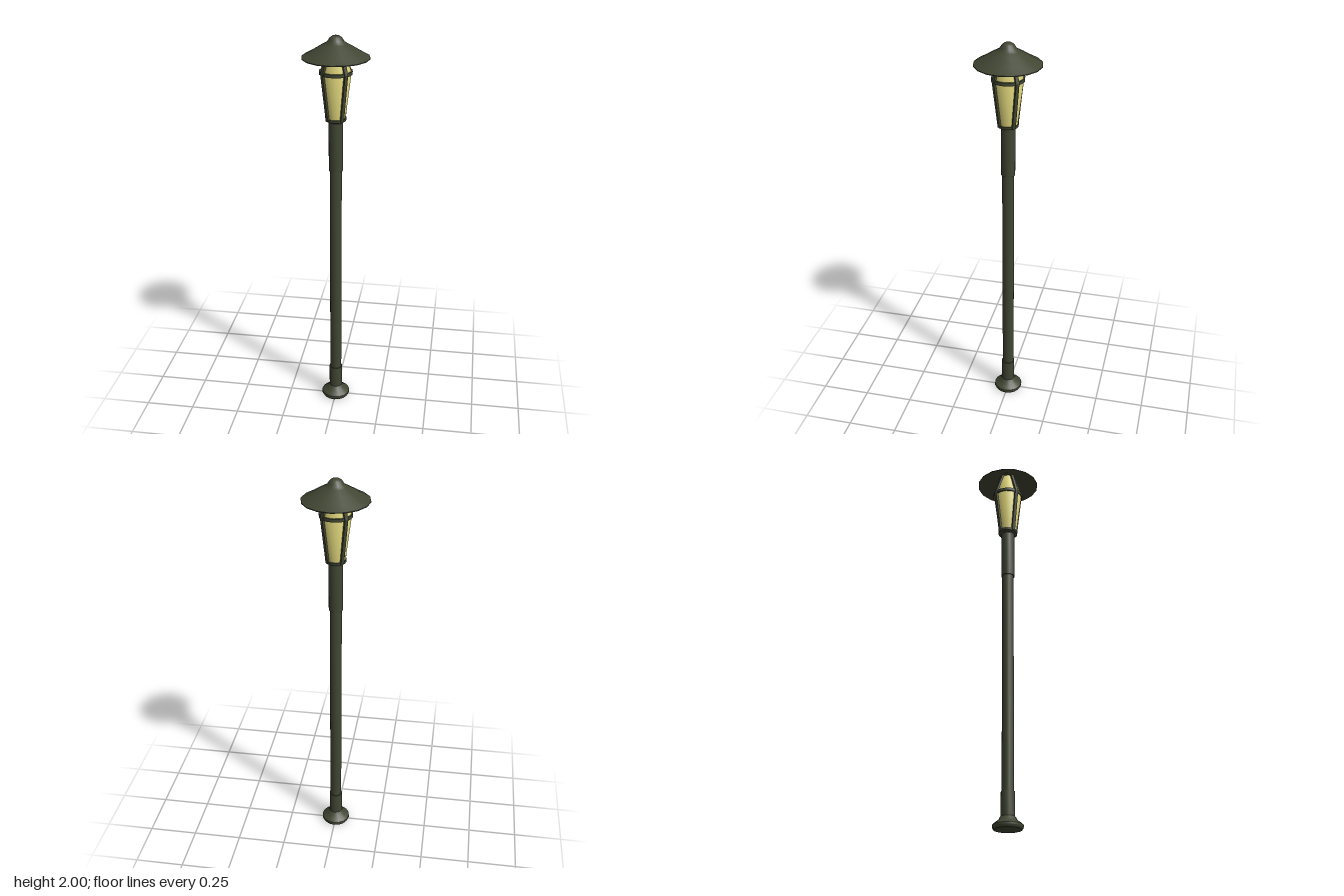
import * as THREE from 'three';
import { toCreasedNormals } from 'three/addons/utils/BufferGeometryUtils.js';

const SIDES = 16;
const metal = new THREE.MeshStandardMaterial({ color: 0x414633 });
const glass = new THREE.MeshStandardMaterial({ color: 0xe2d87c });

// Turned part from [radius, height] pairs, listed so that the outside faces out
function turned(name, profile, material) {
  const points = profile.map(([r, y]) => new THREE.Vector2(r, y));
  const geometry = toCreasedNormals(new THREE.LatheGeometry(points, SIDES), 0.7);
  const mesh = new THREE.Mesh(geometry, material);
  mesh.name = name;
  return mesh;
}

export function createModel() {
  const group = new THREE.Group();
  group.name = 'lampPost';

  // Flared foot
  group.add(turned('foot', [
    [0, 0], [0.068, 0], [0.075, 0.012], [0.074, 0.022], [0.06, 0.034],
    [0.045, 0.045], [0.038, 0.058], [0.034, 0.062],
  ], metal));

  // Post with thicker sleeves at both ends
  group.add(turned('post', [
    [0.034, 0.055], [0.034, 0.18], [0.03, 0.18], [0.03, 1.33],
    [0.035, 1.33], [0.035, 1.575], [0, 1.575],
  ], metal));

  // Cup holding the lantern
  group.add(turned('lanternCup', [
    [0.033, 1.565], [0.036, 1.582], [0.05, 1.588], [0.052, 1.602], [0, 1.602],
  ], metal));

  // Glass body, widest at the band
  group.add(turned('lanternGlass', [
    [0.046, 1.595], [0.075, 1.825], [0.05, 1.905], [0.035, 1.945],
  ], glass));

  // Band around the widest part
  group.add(turned('lanternBand', [
    [0.072, 1.817], [0.08, 1.817], [0.08, 1.833], [0.07, 1.833],
  ], metal));

  // Four bent bars on the diagonals
  const outline = [
    [0.042, 1.59], [0.053, 1.59], [0.084, 1.826], [0.058, 1.906],
    [0.042, 1.95], [0.03, 1.95], [0.046, 1.905], [0.071, 1.825],
  ];
  const barShape = new THREE.Shape(outline.map(([r, y]) => new THREE.Vector2(r, y)));
  const barGeometry = new THREE.ExtrudeGeometry(barShape, { depth: 0.018, bevelEnabled: false });
  barGeometry.translate(0, 0, -0.009);
  for (let i = 0; i < 4; i++) {
    const bar = new THREE.Mesh(barGeometry, metal);
    bar.name = `lanternBar${i + 1}`;
    bar.rotation.y = Math.PI / 4 + i * Math.PI / 2;
    group.add(bar);
  }

  // Wide hollow roof with a rounded knob
  group.add(turned('roof', [
    [0, 1.955], [0.04, 1.95], [0.085, 1.925], [0.163, 1.893], [0.163, 1.897],
    [0.12, 1.921], [0.08, 1.946], [0.055, 1.96], [0.042, 1.968], [0.036, 1.977],
    [0.028, 1.989], [0.016, 1.997], [0, 2],
  ], metal));

  return group;
}
